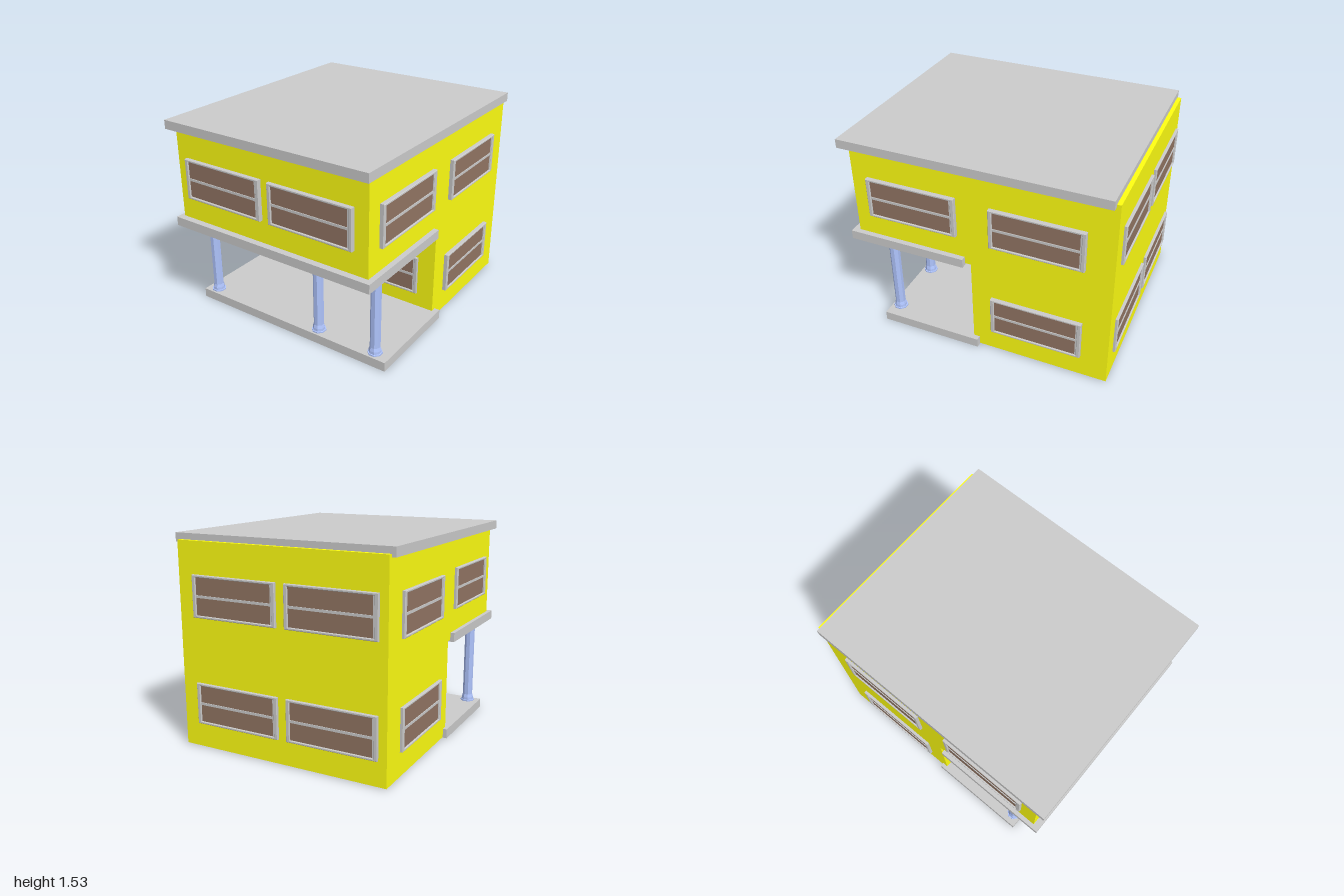
import * as THREE from 'three';

const mat = (color) => new THREE.MeshStandardMaterial({ color, flatShading: true });
const grey = mat(0xc0c0c0), yellow = mat(0xffff12), brown = mat(0x927563);
const blue = mat(0xb0c5fe), black = mat(0x111111);

// Box given by its extents on each axis
function box(name, material, [x0, x1], [y0, y1], [z0, z1]) {
  const mesh = new THREE.Mesh(new THREE.BoxGeometry(x1 - x0, y1 - y0, z1 - z0), material);
  mesh.position.set((x0 + x1) / 2, (y0 + y1) / 2, (z0 + z1) / 2);
  mesh.name = name;
  return mesh;
}

function rectPath(path, x0, x1, y0, y1) {
  return path.moveTo(x0, y0).lineTo(x1, y0).lineTo(x1, y1).lineTo(x0, y1).closePath();
}

// Window facing +z: back at z = 0, front at z = depth
function createWindow(w, h, depth, side = 0.024, extra = 0.014) {
  const g = new THREE.Group();
  g.name = 'window';
  const b = 0.004, rail = Math.min(0.013, side);
  const x = w / 2, y = h / 2;
  const shape = rectPath(new THREE.Shape(), -x + b, x - b, -y + b, y - b);
  shape.holes.push(rectPath(new THREE.Path(), -x + side, x - side, -y + rail, y - rail));
  const geo = new THREE.ExtrudeGeometry(shape, {
    depth: depth - b, bevelEnabled: true, bevelSize: b, bevelThickness: b, bevelSegments: 1,
  });
  const frame = new THREE.Mesh(geo, grey);
  frame.name = 'windowFrame';
  g.add(frame);
  g.add(box('windowPane', brown, [-x + side / 2, x - side / 2], [-y + rail / 2, y - rail / 2], [0, depth - 0.011]));
  g.add(box('windowBar', grey, [-x + side / 2, x - side / 2], [-0.009, 0.009], [0, depth - 0.006]));
  if (extra) g.add(box('sashStile', grey, [x - side - extra, x - side / 2], [-y + rail, y - rail], [0, depth - 0.006]));
  return g;
}

// Eight-sided column with flared base and capital
function createColumn(x, z) {
  const points = [
    [0, 0.068], [0.054, 0.068], [0.054, 0.08], [0.046, 0.081], [0.045, 0.1], [0.038, 0.125],
    [0.038, 0.685], [0.047, 0.7], [0.047, 0.722], [0, 0.722],
  ].map(([r, y]) => new THREE.Vector2(r, y));
  const column = new THREE.Mesh(new THREE.LatheGeometry(points, 8, Math.PI / 8), blue);
  column.position.set(x, 0, z);
  column.name = 'column';
  return column;
}

export function createModel() {
  const house = new THREE.Group();
  house.name = 'house';

  // Walls: stepped side profile (z, y) swept across the width
  const profile = new THREE.Shape([
    [-0.98, 0.005], [0.04, 0.005], [0.04, 0.73], [0.93, 0.73], [0.93, 1.485], [-0.98, 1.485],
  ].map(([z, y]) => new THREE.Vector2(z, y)));
  const wallGeo = new THREE.ExtrudeGeometry(profile, { depth: 1.6, bevelEnabled: false });
  wallGeo.rotateY(-Math.PI / 2).translate(0.795, 0, 0);
  const walls = new THREE.Mesh(wallGeo, yellow);
  walls.name = 'walls';
  house.add(walls);

  // Slabs
  const wide = [-0.835, 0.835];
  house.add(box('roofSlab', grey, wide, [1.465, 1.53], [-0.95, 1]));
  house.add(box('balconySlab', grey, wide, [0.717, 0.785], [0.085, 0.98]));
  house.add(box('porchSlab', grey, wide, [0, 0.07], [-0.005, 0.775]));

  // Porch columns
  for (const x of [-0.745, 0.238, 0.717]) house.add(createColumn(x, 0.71));

  // Front door
  house.add(box('door', black, [-0.3, -0.055], [0.08, 0.415], [0.03, 0.048]));
  house.add(box('doorHandle', grey, [-0.261, -0.239], [0.203, 0.218], [0.045, 0.06]));

  // Front windows: x range, y range, wall z, depth
  const front = [
    [-0.72, -0.05, 0.955, 1.255, 0.93, 0.03],
    [0.02, 0.69, 0.955, 1.255, 0.93, 0.03],
    [-0.695, -0.385, 0.18, 0.485, 0.04, 0.017],
    [0.08, 0.66, 0.18, 0.485, 0.04, 0.017],
  ];
  for (const [x0, x1, y0, y1, z, depth] of front) {
    const win = createWindow(x1 - x0, y1 - y0, depth);
    win.position.set((x0 + x1) / 2, (y0 + y1) / 2, z);
    house.add(win);
  }
  const transom = createWindow(0.185, 0.095, 0.017, 0.008, 0);
  transom.position.set(-0.178, 0.513, 0.04);
  transom.name = 'transomWindow';
  house.add(transom);

  // Back windows
  for (const x of [-0.408, 0.335]) {
    for (const y of [0.332, 1.105]) {
      const win = createWindow(0.675, 0.3, 0.02);
      win.position.set(x, y, -0.98);
      win.rotation.y = Math.PI;
      house.add(win);
    }
  }

  // Side windows on both flanks
  for (const [z, y] of [[0.472, 1.105], [-0.448, 1.088], [-0.448, 0.332]]) {
    for (const [x, dir, depth] of [[0.795, 1, 0.031], [-0.805, -1, 0.022]]) {
      const win = createWindow(0.675, 0.304, depth);
      win.position.set(x, y, z);
      win.rotation.y = dir * Math.PI / 2;
      house.add(win);
    }
  }
  return house;
}
